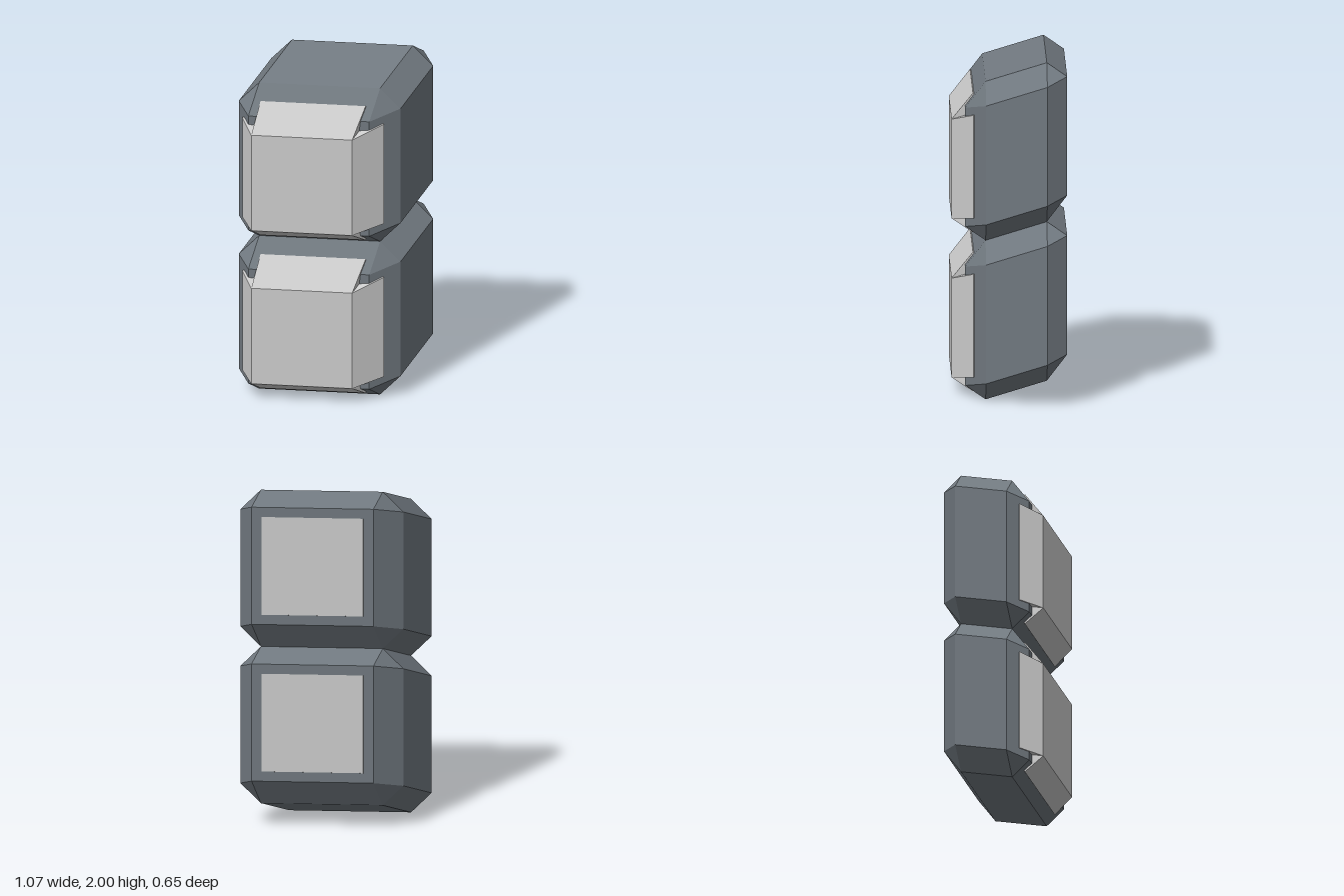
import * as THREE from 'three';
import { ConvexGeometry } from 'three/addons/geometries/ConvexGeometry.js';

const SLANT = 0.405;     // sideways and downward lean per unit of depth
const MID_Z = -0.0375;   // depth of the casing centre
const PITCH = 0.93;      // spacing of the stacked blocks
const SIGNS = [-1, 1];

// Convex solid from upright points, leaned along the depth axis
function leaningSolid(points) {
  return new ConvexGeometry(points.map(([x, y, z]) =>
    new THREE.Vector3(x - SLANT * z, y - SLANT * z, z + MID_Z)));
}

// Chamfered box: one small rectangle per face
function casingGeometry() {
  const inner = 0.3475, outer = 0.465, shallow = 0.1725, deep = 0.2875;
  const points = [];
  for (const a of SIGNS) for (const b of SIGNS) for (const c of SIGNS) {
    points.push(
      [a * inner, b * inner, c * deep],
      [a * inner, b * outer, c * shallow],
      [a * outer, b * inner, c * shallow]);
  }
  return leaningSolid(points);
}

// Core running through the casing, flush at the back and proud at the front
function coreGeometry() {
  const points = [];
  for (const a of SIGNS) for (const b of SIGNS) {
    points.push([a * 0.29, b * 0.29, 0.3625], [a * 0.29, b * 0.29, -0.2885]);
  }
  return leaningSolid(points);
}

// Sloping flap that laps over one casing chamfer; quarter turns give all four
function flapGeometry(turn) {
  const profile = [
    // distance out, depth, half width
    [0.29, 0.3625, 0.29],
    [0.407, 0.2425, 0.302],
    [0.39, 0.2275, 0.302],
    [0.29, 0.2275, 0.29],
  ];
  const c = Math.round(Math.cos(turn * Math.PI / 2));
  const s = Math.round(Math.sin(turn * Math.PI / 2));
  const points = [];
  for (const [out, z, half] of profile) for (const side of SIGNS) {
    const across = side * half;
    points.push([c * out - s * across, s * out + c * across, z]);
  }
  return leaningSolid(points);
}

export function createModel() {
  const model = new THREE.Group();
  model.name = 'stackedBlocks';
  const slate = new THREE.MeshStandardMaterial({ color: 0x70787f, flatShading: true });
  const grey = new THREE.MeshStandardMaterial({ color: 0xcccccc, flatShading: true });

  const add = (parent, name, geometry, material) => {
    const mesh = new THREE.Mesh(geometry, material);
    mesh.name = name;
    parent.add(mesh);
  };

  ['lowerBlock', 'upperBlock'].forEach((name, i) => {
    const block = new THREE.Group();
    block.name = name;
    block.position.y = 0.535 + i * PITCH;
    add(block, 'casing', casingGeometry(), slate);
    add(block, 'panelCore', coreGeometry(), grey);
    ['leftFlap', 'topFlap', 'rightFlap', 'bottomFlap'].forEach((flap, turn) =>
      add(block, flap, flapGeometry(turn), grey));
    model.add(block);
  });
  return model;
}
